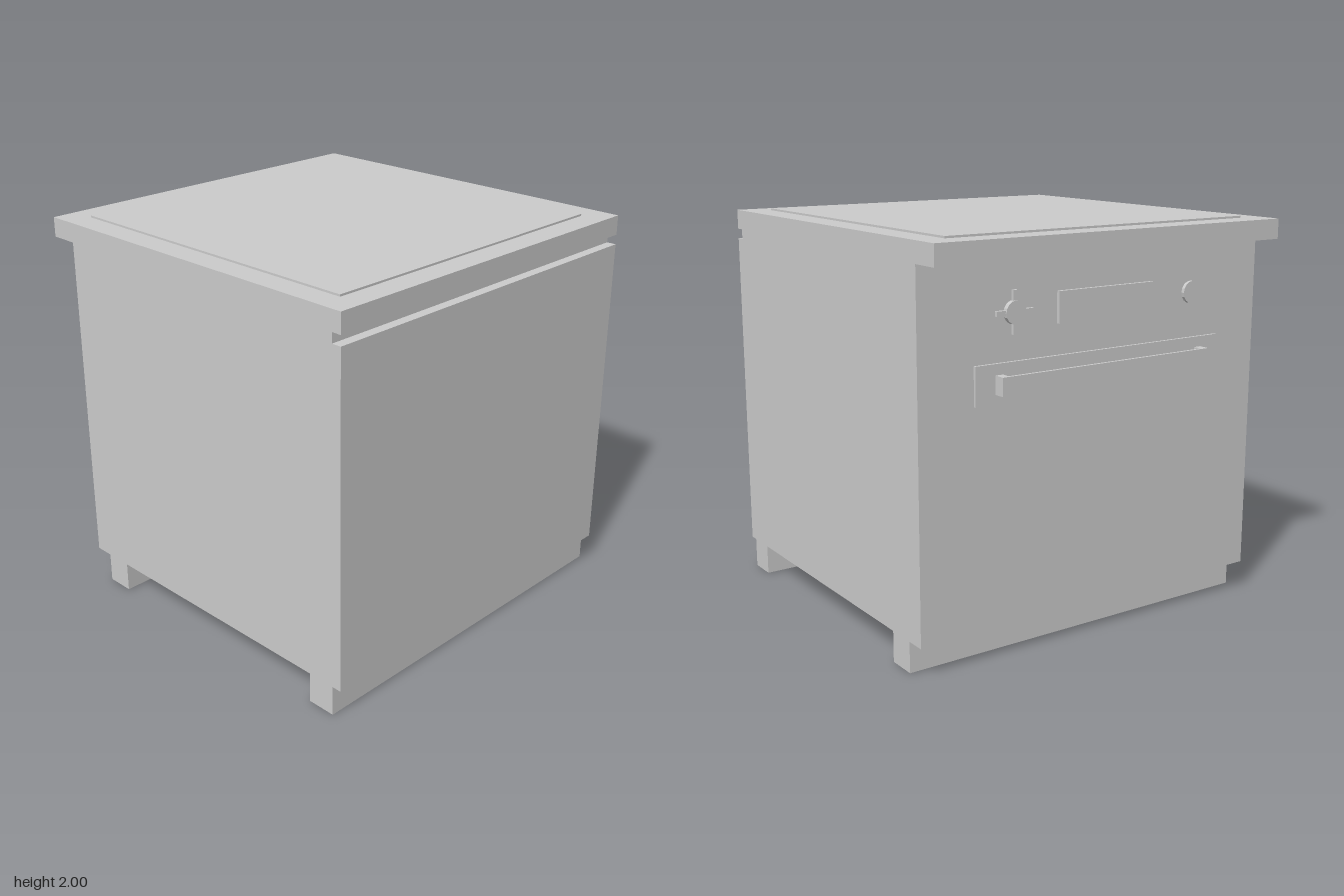
import * as THREE from 'three';

const material = new THREE.MeshStandardMaterial({ color: 0xcccccc, flatShading: true });
const W = 0.997;      // half width
const BACK = -0.847;  // control face of the body

export function createModel() {
  const model = new THREE.Group();
  model.name = 'dishwasher';

  const add = (name, geometry, parent = model) => {
    const mesh = new THREE.Mesh(geometry, material);
    mesh.name = name;
    parent.add(mesh);
    return mesh;
  };
  // box given by its min and max on each axis
  const box = (name, [x0, x1], [y0, y1], [z0, z1], parent) => {
    const mesh = add(name, new THREE.BoxGeometry(x1 - x0, y1 - y0, z1 - z0), parent);
    mesh.position.set((x0 + x1) / 2, (y0 + y1) / 2, (z0 + z1) / 2);
    return mesh;
  };
  // disc standing out from the control face
  const disc = (name, x, y, radius, depth, parent) => {
    const mesh = add(name, new THREE.CylinderGeometry(radius, radius, depth, 16), parent);
    mesh.rotation.x = Math.PI / 2;
    mesh.position.set(x, y, BACK - depth / 2);
    return mesh;
  };

  // body: side profile with a groove under the worktop, extruded across the width
  const profile = new THREE.Shape([
    [0.997, 0.155], [0.997, 1.84], [0.947, 1.84], [0.947, 1.89], [BACK, 1.89], [BACK, 0.155],
  ].map(([z, y]) => new THREE.Vector2(-z, y)));
  const body = new THREE.ExtrudeGeometry(profile, { depth: 2 * W, bevelEnabled: false });
  body.translate(0, 0, -W).rotateY(Math.PI / 2);
  add('body', body);

  // worktop and its raised panel
  box('worktop', [-W, W], [1.89, 1.99], [-W, W]);
  box('topPanel', [-0.87, 0.86], [1.99, 2], [-0.861, 0.869]);

  // full width base rails
  box('frontBaseRail', [-W, W], [0, 0.155], [0.799, 0.948]);
  box('backBaseRail', [-W, W], [0, 0.155], [-0.746, -0.597]);

  // handle: backing plate, two posts and a thin bar
  const handle = new THREE.Group();
  handle.name = 'handle';
  model.add(handle);
  box('handlePlate', [-0.735, 0.707], [1.235, 1.42], [-0.861, BACK], handle);
  box('handleBar', [-0.63, 0.6], [1.28, 1.368], [-0.919, -0.904], handle);
  box('handlePost', [-0.63, -0.59], [1.28, 1.368], [-0.904, -0.861], handle);
  box('handlePost', [0.56, 0.6], [1.28, 1.368], [-0.904, -0.861], handle);

  // display and push button
  box('display', [-0.31, 0.252], [1.567, 1.717], [-0.865, BACK]);
  disc('button', -0.561, 1.645, 0.055, 0.018);

  // dial with four surrounding marks
  const dial = new THREE.Group();
  dial.name = 'dial';
  model.add(dial);
  const cx = 0.494, cy = 1.642;
  disc('dialKnob', cx, cy, 0.055, 0.024, dial);
  for (let i = 0; i < 4; i++) {
    const a = (i * Math.PI) / 2;
    const mark = add('dialMark', new THREE.BoxGeometry(0.055, 0.024, 0.018), dial);
    mark.position.set(cx + 0.073 * Math.cos(a), cy + 0.073 * Math.sin(a), BACK - 0.009);
    mark.rotation.z = a;
  }
  return model;
}
